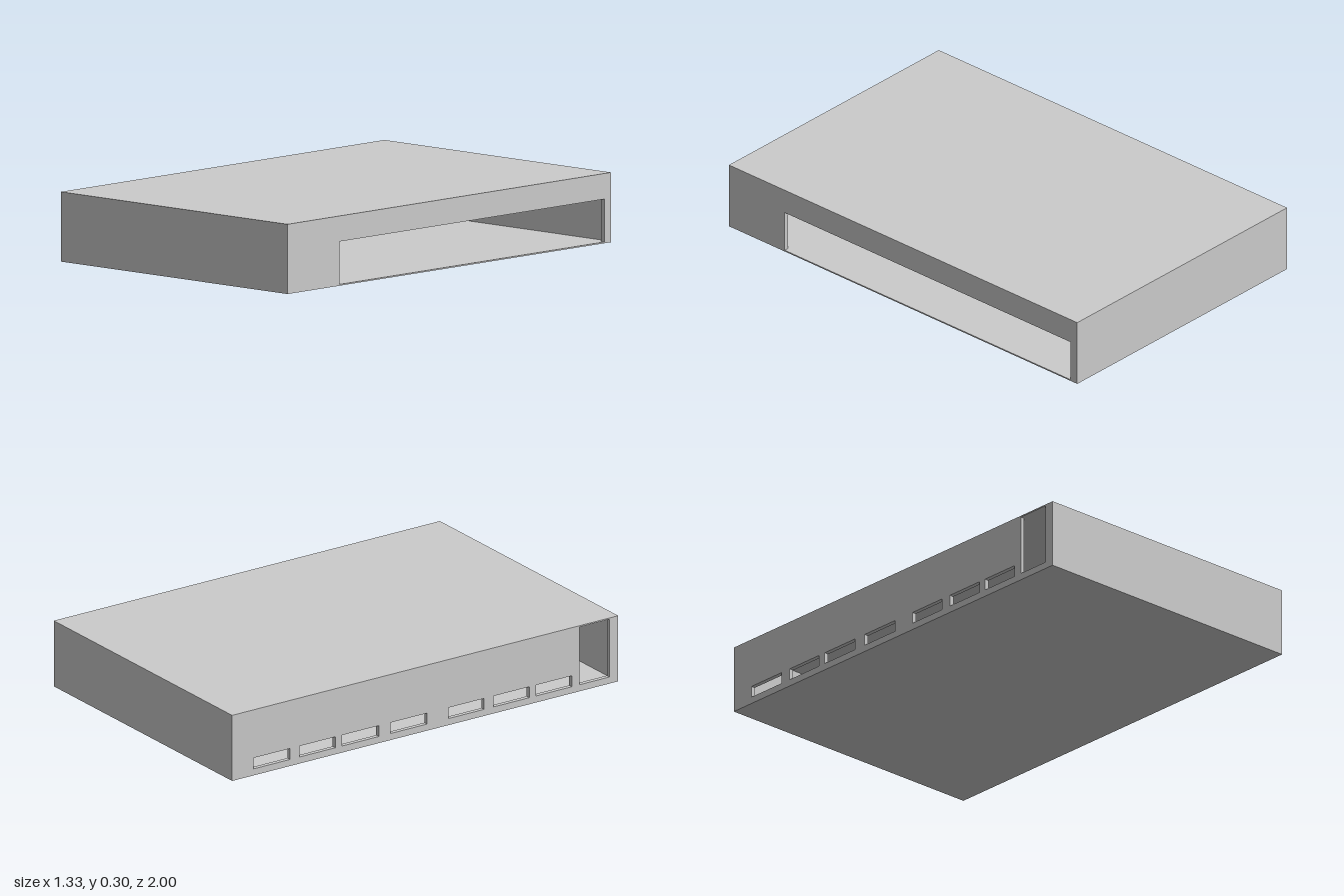
import * as THREE from 'three';

const W = 1.325, L = 2, H = 0.3;   // overall width, length, height
const SLAB = 0.006, T = 0.02;      // slab and wall thickness

export function createModel() {
  const group = new THREE.Group();
  const material = new THREE.MeshStandardMaterial({ color: 0xcccccc, flatShading: true });

  const box = (name, w, h, d, x, y, z) => {
    const mesh = new THREE.Mesh(new THREE.BoxGeometry(w, h, d), material);
    mesh.name = name;
    mesh.position.set(x, y, z);
    group.add(mesh);
  };

  // Long wall drawn in (z, y) and extruded across x, starting at x0
  const sideWall = (name, outline, windows, x0) => {
    const shape = new THREE.Shape(outline.map(([z, y]) => new THREE.Vector2(-z, y)));
    for (const [z0, z1] of windows) {
      shape.holes.push(new THREE.Path([[z0, 0.03], [z0, 0.08], [z1, 0.08], [z1, 0.03]]
        .map(([z, y]) => new THREE.Vector2(-z, y))));
    }
    const geometry = new THREE.ExtrudeGeometry(shape, { depth: T, bevelEnabled: false });
    geometry.rotateY(Math.PI / 2);
    const mesh = new THREE.Mesh(geometry, material);
    mesh.name = name;
    mesh.position.x = x0;
    group.add(mesh);
  };

  // Floor and roof slabs
  box('floor', W, SLAB, L, 0, SLAB / 2, 0);
  box('roof', W, SLAB, L, 0, H - SLAB / 2, 0);

  // Plain end walls
  const wallH = H - 2 * SLAB, end = 0.01;
  box('frontWall', W, wallH, end, 0, H / 2, L / 2 - end / 2);
  box('backWall', W, wallH, end, 0, H / 2, -L / 2 + end / 2);

  const lo = SLAB, hi = H - SLAB, zEnd = L / 2 - end;

  // Left wall with the long, floor-level opening
  sideWall('openWall', [
    [zEnd, lo], [0.68, lo], [0.68, 0.19], [-0.96, 0.19], [-0.96, lo],
    [-zEnd, lo], [-zEnd, hi], [zEnd, hi],
  ], [], W / 2 - T);

  // Right wall with a full-height doorway and a row of low windows
  const windows = [
    [0.575, 0.76], [0.355, 0.54], [0.12, 0.305], [-0.18, 0.01],
    [-0.43, -0.24], [-0.65, -0.465], [-0.89, -0.7],
  ];
  sideWall('windowWall', [
    [zEnd, lo], [-zEnd, lo], [-zEnd, hi], [0.8, hi], [0.8, 0.03],
    [0.955, 0.03], [0.955, hi], [zEnd, hi],
  ], windows, -W / 2);

  return group;
}
